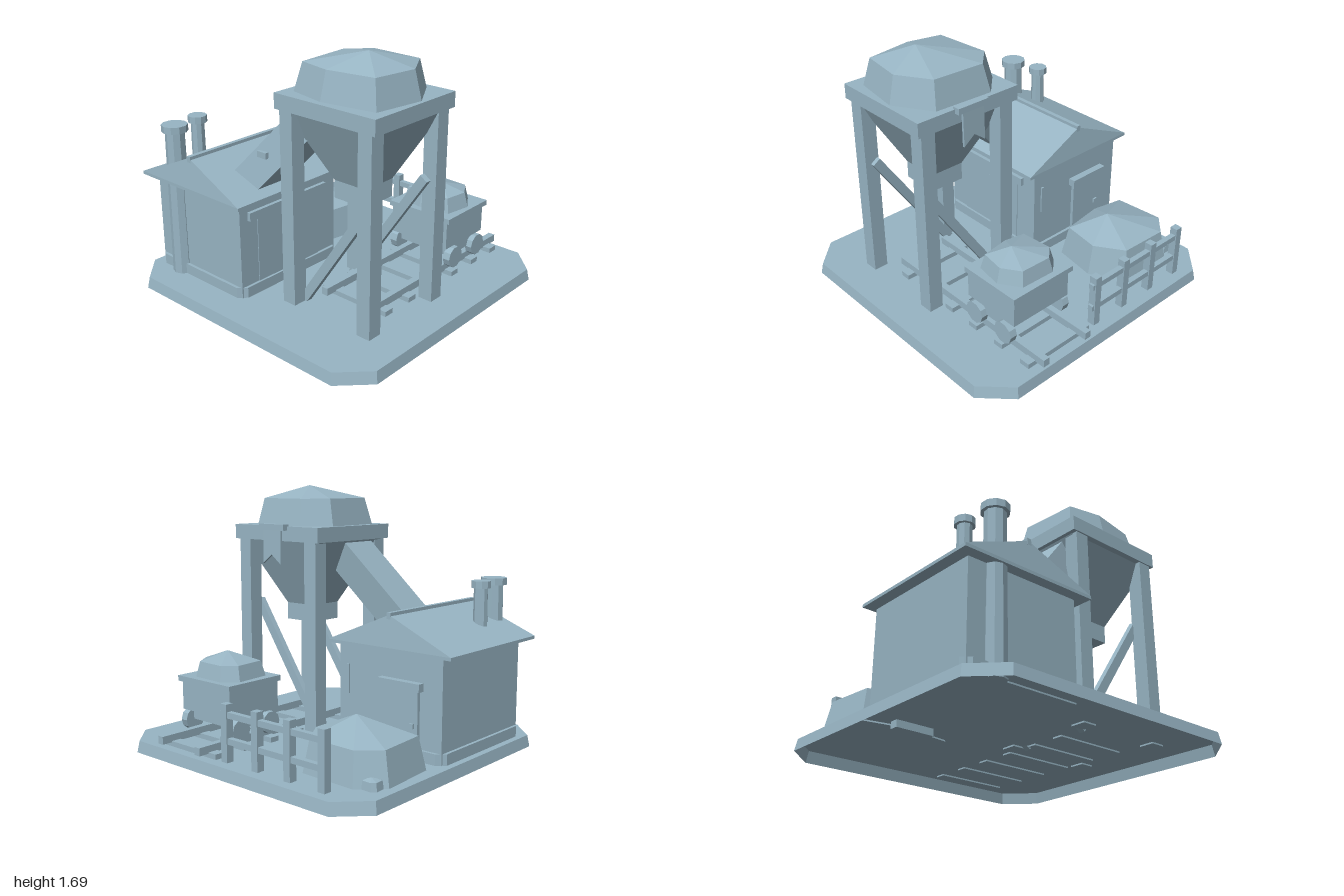
import * as THREE from 'three';

const slate = new THREE.MeshStandardMaterial({ color: 0x98b5c4, side: THREE.DoubleSide });
slate.name = 'slateBlue';

function add(parent, name, geometry) {
  const geo = geometry.index ? geometry.toNonIndexed() : geometry;
  geo.computeVertexNormals(); // flat facets
  const mesh = new THREE.Mesh(geo, slate);
  mesh.name = name;
  parent.add(mesh);
  return mesh;
}

// box given by its lower and upper limits on each axis
function box(parent, name, x0, x1, y0, y1, z0, z1) {
  const mesh = add(parent, name, new THREE.BoxGeometry(x1 - x0, y1 - y0, z1 - z0));
  mesh.position.set((x0 + x1) / 2, (y0 + y1) / 2, (z0 + z1) / 2);
  return mesh;
}

function cylinder(parent, name, rTop, rBottom, y0, y1, x, z, sides) {
  const mesh = add(parent, name, new THREE.CylinderGeometry(rTop, rBottom, y1 - y0, sides));
  mesh.position.set(x, (y0 + y1) / 2, z);
  return mesh;
}

// outlines run clockwise as seen from above
const rect = (cx, cz, hx, hz, y) =>
  [[-1, -1], [1, -1], [1, 1], [-1, 1]].map(([a, b]) => [cx + a * hx, y, cz + b * hz]);
const chamfered = (cx, cz, hx, hz, c, y) =>
  [[c - hx, -hz], [hx - c, -hz], [hx, c - hz], [hx, hz - c], [hx - c, hz], [c - hx, hz], [-hx, hz - c], [-hx, c - hz]]
    .map(([a, b]) => [cx + a, y, cz + b]);

// shape through a stack of outlines, with an optional peak and an optional open bottom
function loft(parent, name, rings, { peak, open } = {}) {
  const v = [];
  const tri = (a, b, c) => v.push(...a, ...b, ...c);
  const middle = (ring) => [0, 1, 2].map((k) => ring.reduce((s, p) => s + p[k], 0) / ring.length);
  const first = rings[0], last = rings[rings.length - 1], n = first.length;
  const low = middle(first), high = peak || middle(last);
  for (let i = 0; i < n; i++) {
    const j = (i + 1) % n;
    if (!open) tri(first[i], first[j], low);
    for (let r = 0; r + 1 < rings.length; r++) {
      const a = rings[r], b = rings[r + 1];
      tri(a[j], a[i], b[i]);
      tri(a[j], b[i], b[j]);
    }
    tri(last[j], last[i], high);
  }
  const geo = new THREE.BufferGeometry();
  geo.setAttribute('position', new THREE.Float32BufferAttribute(v, 3));
  return add(parent, name, geo);
}

// irregular seven-sided pile
const HEAP = [[-0.57, -1], [0.58, -0.95], [1, -0.2], [0.86, 0.83], [-0.17, 1], [-0.91, 0.83], [-1, -0.52]];
function heap(parent, name, cx, cz, hx, hz, y0, y1, y2) {
  const ring = (s, y) => HEAP.map(([a, b]) => [cx + a * hx * s, y, cz + b * hz * s]);
  loft(parent, name, [ring(1, y0), ring(0.87, y1)], { peak: [cx + 0.17 * hx, y2, cz + 0.15 * hz] });
}

// bar whose length runs from a to b
function beam(parent, name, a, b, width, height) {
  const from = new THREE.Vector3(...a), to = new THREE.Vector3(...b);
  const mesh = add(parent, name, new THREE.BoxGeometry(width, height, from.distanceTo(to)));
  mesh.position.copy(from).lerp(to, 0.5);
  mesh.lookAt(to);
  return mesh;
}

function group(parent, name) {
  const g = new THREE.Group();
  g.name = name;
  parent.add(g);
  return g;
}

export function createModel() {
  const model = new THREE.Group();
  model.name = 'miningYard';
  const G = 0.065; // parts stand slightly sunk into the slab

  // hollow slab, open underneath
  loft(model, 'groundSlab', [chamfered(0, 0, 1, 0.98, 0.18, 0), chamfered(0, 0, 0.987, 0.967, 0.176, 0.075)], { open: true });

  // house
  const house = group(model, 'house');
  loft(house, 'foundation', [G, 0.145].map((y) => chamfered(-0.535, 0.32, 0.41, 0.445, 0.05, y)));
  box(house, 'walls', -0.925, -0.145, 0.075, 0.735, -0.105, 0.745);
  loft(house, 'roof', [
    rect(-0.537, 0.338, 0.463, 0.478, 0.715),
    rect(-0.537, 0.338, 0.463, 0.478, 0.735),
    rect(-0.537, 0.338, 0.002, 0.455, 0.93),
  ]);
  box(house, 'ridgeCap', -0.552, -0.522, 0.905, 0.945, -0.12, 0.797);
  box(house, 'backDoor', -0.765, -0.505, 0.02, 0.5, -0.128, -0.07);
  box(house, 'backDoorLintel', -0.79, -0.48, 0.5, 0.55, -0.153, -0.1);
  box(house, 'backDoorKnob', -0.74, -0.71, 0.27, 0.3, -0.14, -0.12);
  box(house, 'backWallSlit', -0.225, -0.205, 0.4, 0.59, -0.115, -0.1);
  box(house, 'slidingDoor', -0.15, -0.14, 0.145, 0.6, 0.06, 0.6);
  box(house, 'slidingDoorRail', -0.15, -0.12, 0.59, 0.645, 0, 0.68);
  box(house, 'slidingDoorHandle', -0.145, -0.12, 0.375, 0.545, 0.3, 0.318);

  // chimneys
  const chimneys = group(house, 'chimneys');
  for (const [x, z, r, cap] of [[-0.735, 0.738, 0.064, 0.085], [-0.775, 0.52, 0.045, 0.063]]) {
    cylinder(chimneys, 'chimneyPipe', r, r * 1.12, G, 1.06, x, z, 9);
    cylinder(chimneys, 'chimneyCap', cap, cap, 1.055, 1.1, x, z, 10);
  }

  // loading tower
  const tower = group(model, 'tower');
  for (const x of [0.065, 0.665])
    for (const z of [-0.11, 0.49]) box(tower, 'towerPost', x, x + 0.098, G, 1.34, z, z + 0.1);
  box(tower, 'towerDeck', 0.033, 0.793, 1.33, 1.427, -0.125, 0.6);
  loft(tower, 'hopper', [rect(0.413, 0.24, 0.12, 0.125, 0.885), rect(0.413, 0.24, 0.355, 0.32, 1.335)]);
  box(tower, 'hopperSpout', 0.293, 0.533, 0.77, 0.89, 0.115, 0.365);
  for (const z of [0.01, 0.48]) beam(tower, 'diagonalBrace', [0.14, 0.07, z], [0.7, 0.9, z], 0.04, 0.06);
  heap(tower, 'towerHeap', 0.419, 0.234, 0.352, 0.327, 1.42, 1.605, 1.69);

  // chute from the house roof to the tower
  const chute = add(tower, 'chute', new THREE.BoxGeometry(0.8, 0.2, 0.264));
  chute.position.set(-0.075, 1, 0.395);
  chute.rotation.set(0, 0.217, 0.85, 'ZYX');
  box(tower, 'chuteBracket', -0.17, -0.095, 0.97, 1.01, 0.48, 0.56);

  // hanging banner at the back of the tower
  const flag = new THREE.Shape([[-0.08, 0], [0.08, 0], [0.08, -0.23], [0, -0.17], [-0.08, -0.23]]
    .map(([x, y]) => new THREE.Vector2(x, y)));
  const banner = add(tower, 'banner', new THREE.ExtrudeGeometry(flag, { depth: 0.015, bevelEnabled: false }));
  banner.position.set(0.41, 1.41, -0.155);
  banner.rotation.x = 0.02;
  box(tower, 'bannerBar', 0.3, 0.525, 1.4, 1.44, -0.16, -0.11);

  // track
  const track = group(model, 'track');
  for (const x of [0.215, 0.565]) box(track, 'rail', x, x + 0.045, 0.1, 0.15, -0.97, 0.4);
  for (let i = 0; i < 6; i++) {
    const z = -0.865 + i * 0.23;
    box(track, 'sleeper', 0.15, 0.665, G, 0.108, z - 0.035, z + 0.035);
  }

  // cart
  const cart = group(model, 'cart');
  box(cart, 'cartBody', 0.19, 0.635, 0.275, 0.47, -0.745, -0.335);
  box(cart, 'cartUnderframe', 0.21, 0.62, 0.2, 0.28, -0.68, -0.4);
  box(cart, 'cartRim', 0.17, 0.655, 0.46, 0.495, -0.765, -0.328);
  for (const x of [0.195, 0.635])
    for (const z of [-0.415, -0.67]) {
      const wheel = cylinder(cart, 'wheel', 0.073, 0.073, 0.175, 0.225, x, z, 10);
      wheel.rotation.z = Math.PI / 2;
    }
  heap(cart, 'cartHeap', 0.417, -0.548, 0.207, 0.177, 0.49, 0.592, 0.648);

  // heap and rock on the ground
  heap(model, 'groundHeap', -0.595, -0.457, 0.338, 0.287, G, 0.28, 0.385);
  heap(model, 'rock', -0.855, -0.665, 0.06, 0.05, G, 0.125, 0.14);

  // fence
  const fence = group(model, 'fence');
  for (let i = 0; i < 4; i++) {
    const x = -0.697 + i * 0.258;
    box(fence, 'fencePost', x - 0.025, x + 0.025, 0.075, 0.43, -0.897, -0.845);
  }
  for (const y of [0.188, 0.347]) box(fence, 'fenceRail', -0.72, 0.118, y, y + 0.037, -0.89, -0.854);

  return model;
}
